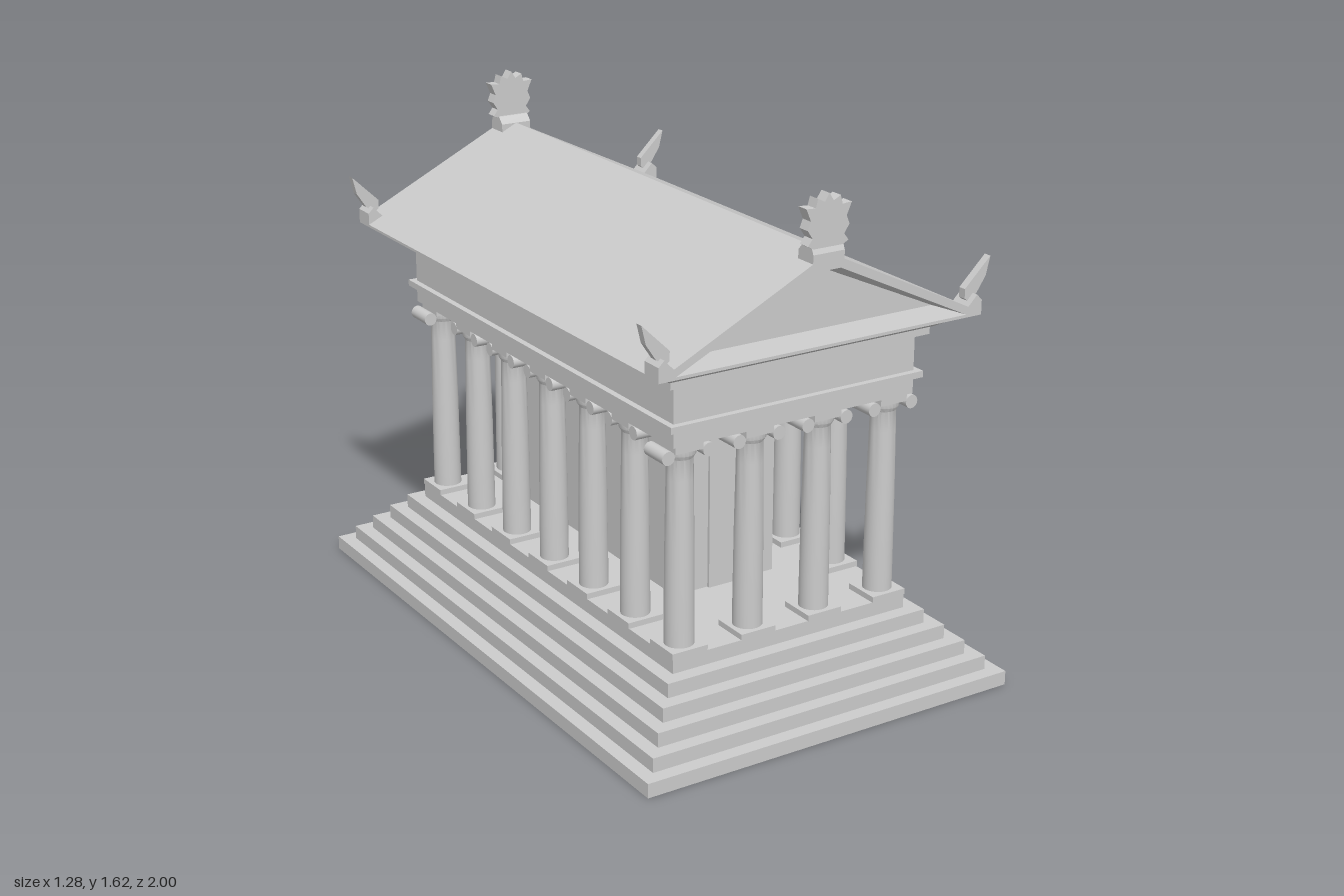
import * as THREE from 'three';
import { toCreasedNormals } from 'three/addons/utils/BufferGeometryUtils.js';

const grey = new THREE.MeshStandardMaterial({ color: 0xcccccc });
const greyDouble = new THREE.MeshStandardMaterial({ color: 0xcccccc, side: THREE.DoubleSide });

function add(parent, name, geometry, material = grey) {
  const mesh = new THREE.Mesh(geometry, material);
  mesh.name = name;
  parent.add(mesh);
  return mesh;
}

// Rectangular slab between two heights, optionally widening to the top
function slab(parent, name, hx, hz, y0, y1, flare = 0) {
  const g = new THREE.BoxGeometry(2 * hx, y1 - y0, 2 * hz);
  const p = g.attributes.position;
  for (let i = 0; i < p.count; i++) {
    if (p.getY(i) > 0) {
      p.setX(i, p.getX(i) + Math.sign(p.getX(i)) * flare);
      p.setZ(i, p.getZ(i) + Math.sign(p.getZ(i)) * flare);
    }
  }
  g.translate(0, (y0 + y1) / 2, 0);
  g.computeVertexNormals();
  return add(parent, name, g);
}

const shapeOf = (pts) => new THREE.Shape(pts.map(([x, y]) => new THREE.Vector2(x, y)));

// Flat outline extruded from z0 to z1
function plate(parent, name, shape, z0, z1) {
  const g = new THREE.ExtrudeGeometry(shape, { depth: z1 - z0, bevelEnabled: false });
  g.translate(0, 0, z0);
  return add(parent, name, g);
}

// Column with plinth, tapering shaft and scrolled capital facing z
const shaftGeometry = toCreasedNormals(new THREE.LatheGeometry([
  [0, 0.288], [0.045, 0.288], [0.0445, 0.4], [0.043, 0.6], [0.04, 0.8], [0.039, 0.865],
  [0.047, 0.878], [0.047, 0.9], [0, 0.9],
].map(([r, y]) => new THREE.Vector2(r, y)), 24), 0.6);
const scrollGeometry = new THREE.CylinderGeometry(0.021, 0.021, 0.096, 20).rotateX(Math.PI / 2);

function column(x, z, turn) {
  const c = new THREE.Group();
  c.name = 'column';
  slab(c, 'plinth', 0.06, 0.06, 0.27, 0.288);
  add(c, 'shaft', shaftGeometry);
  slab(c, 'abacus', 0.047, 0.05, 0.893, 0.92);
  for (const s of [-1, 1]) add(c, 'scroll', scrollGeometry).position.set(s * 0.068, 0.886, 0);
  c.position.set(x, 0, z);
  c.rotation.y = turn;
  return c;
}

// Recessed triangular wall with sloping reveals, facing +z
function pediment() {
  const g = new THREE.Group();
  g.name = 'pediment';
  const outer = [[-0.495, 1.184, 0.908], [0.495, 1.184, 0.908], [0, 1.42, 0.908]];
  const inner = [[-0.455, 1.19, 0.8], [0.455, 1.19, 0.8], [0, 1.395, 0.8]];
  const pos = [...inner.flat()];
  for (let i = 0; i < 3; i++) {
    const j = (i + 1) % 3;
    pos.push(...outer[i], ...outer[j], ...inner[j], ...outer[i], ...inner[j], ...inner[i]);
  }
  const geo = new THREE.BufferGeometry();
  geo.setAttribute('position', new THREE.Float32BufferAttribute(pos, 3));
  geo.computeVertexNormals();
  add(g, 'tympanum', geo, greyDouble);
  return g;
}

// Leaf-crowned ornament on the ridge, and pointed ones on the two eaves
function ornaments() {
  const g = new THREE.Group();
  g.name = 'roofOrnaments';
  const base = shapeOf([[-0.91, 1.4], [-0.84, 1.4], [-0.84, 1.45], [-0.86, 1.472], [-0.9, 1.472], [-0.91, 1.45]]);
  const baseMesh = plate(g, 'ridgeOrnamentBase', base, -0.053, 0.053);
  baseMesh.rotation.y = Math.PI / 2;
  const half = [[0.05, 1.465], [0.068, 1.475], [0.053, 1.495], [0.07, 1.52], [0.06, 1.545],
    [0.076, 1.582], [0.045, 1.58], [0.038, 1.606], [0.015, 1.594]];
  const leaf = [...half, [0, 1.617], ...half.slice().reverse().map(([x, y]) => [-x, y])];
  plate(g, 'ridgeOrnamentLeaf', shapeOf(leaf), 0.867, 0.905);

  const foot = [[0.5, 1.175], [0.55, 1.175], [0.55, 1.22], [0.532, 1.238], [0.5, 1.205]];
  const blade = [[0.515, 1.215], [0.545, 1.235], [0.577, 1.283], [0.591, 1.34], [0.502, 1.254], [0.503, 1.225]];
  for (const s of [-1, 1]) {
    const mirror = (pts) => shapeOf(pts.map(([x, y]) => [s * x, y]));
    plate(g, 'eaveOrnamentBase', mirror(foot), 0.84, 0.91);
    plate(g, 'eaveOrnamentBlade', mirror(blade), 0.865, 0.89);
  }
  return g;
}

export function createModel() {
  const model = new THREE.Group();
  model.name = 'temple';

  // Stepped base
  for (let i = 0; i < 6; i++) {
    slab(model, 'step', 0.64 - i * 0.045, 1 - i * 0.045, i * 0.045, (i + 1) * 0.045);
  }

  // Inner chamber, set towards the back, with its doorway
  slab(model, 'chamber', 0.18, 0.5, 0.27, 0.92).position.z = -0.084;
  slab(model, 'door', 0.06, 0.008, 0.27, 0.757).position.z = 0.418;
  slab(model, 'doorLintel', 0.062, 0.015, 0.757, 0.8).position.z = 0.423;

  // Colonnade: four across each end, five more along each side
  for (const s of [-1, 1]) {
    for (let i = 0; i < 4; i++) model.add(column((i - 1.5) * 0.238, s * 0.717, 0));
    for (let i = -2; i <= 2; i++) model.add(column(s * 0.357, i * 0.239, Math.PI / 2));
  }

  // Entablature
  slab(model, 'architrave', 0.417, 0.777, 0.918, 0.97);
  slab(model, 'fillet', 0.437, 0.797, 0.97, 0.99);
  slab(model, 'frieze', 0.417, 0.777, 0.99, 1.105);
  slab(model, 'corniceBand', 0.447, 0.807, 1.105, 1.13);
  slab(model, 'corniceMoulding', 0.455, 0.815, 1.13, 1.157, 0.045);
  slab(model, 'corniceTop', 0.507, 0.867, 1.157, 1.177, 0.008);

  // Gabled roof, open at both ends
  const gable = shapeOf([[-0.55, 1.175], [0.55, 1.175], [0.55, 1.183], [0, 1.45], [-0.55, 1.183]]);
  gable.holes.push(shapeOf([[-0.495, 1.184], [0, 1.42], [0.495, 1.184]]));
  plate(model, 'roof', gable, -0.91, 0.91);

  // Both gable ends
  for (const turn of [0, Math.PI]) {
    const end = new THREE.Group();
    end.name = 'gableEnd';
    end.add(pediment(), ornaments());
    end.rotation.y = turn;
    model.add(end);
  }
  return model;
}
